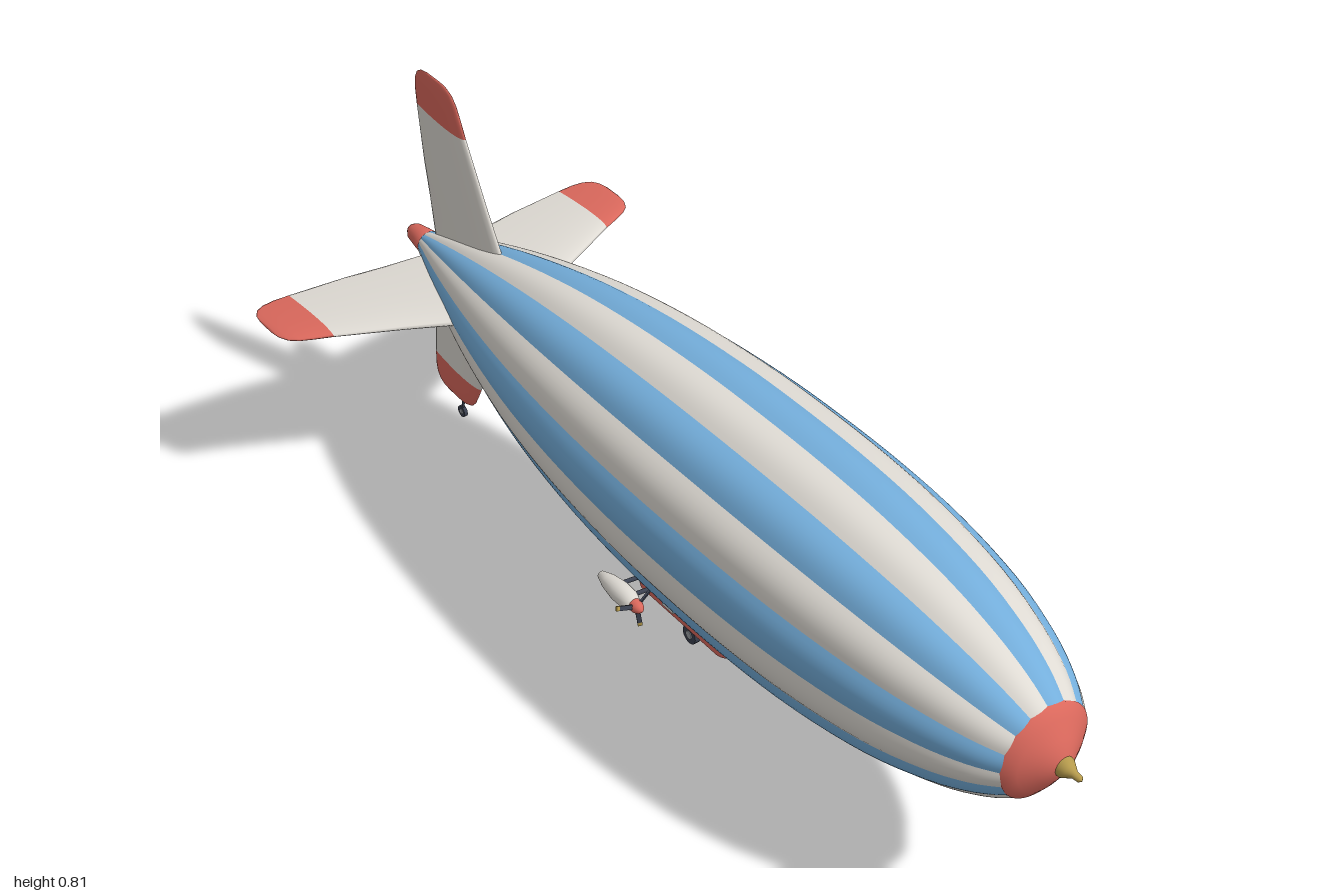
import * as THREE from 'three';
import { mergeGeometries, mergeVertices } from 'three/addons/utils/BufferGeometryUtils.js';

const mat = (name, color) => Object.assign(new THREE.MeshStandardMaterial({ color }), { name });
const AXIS_Y = 0.395; // height of the envelope's long axis

// Surface from fn(u, v) -> [x, y, z], with smooth normals
function grid(nu, nv, fn) {
  const pos = [], idx = [];
  for (let j = 0; j <= nv; j++)
    for (let i = 0; i <= nu; i++) pos.push(...fn(i / nu, j / nv));
  for (let j = 0; j < nv; j++)
    for (let i = 0; i < nu; i++) {
      const a = j * (nu + 1) + i, d = a + nu + 1;
      idx.push(a, a + 1, d, a + 1, d + 1, d);
    }
  let g = new THREE.BufferGeometry();
  g.setAttribute('position', new THREE.Float32BufferAttribute(pos, 3));
  g.setIndex(idx);
  g = mergeVertices(g, 1e-5);
  g.computeVertexNormals();
  return g;
}

// Turned shape along z from [radius, z] pairs, listed from back to front
function turned(points, sides = 32) {
  return new THREE.LatheGeometry(points.map(p => new THREE.Vector2(...p)), sides).rotateX(Math.PI / 2);
}

// Block with a rounded plan, standing between y0 and y1
function slab(w, l, r, y0, y1, bevel = 0) {
  const x = w / 2 - bevel, z = l / 2 - bevel, s = new THREE.Shape();
  r -= bevel;
  s.absarc(x - r, z - r, r, 0, Math.PI / 2);
  s.absarc(-x + r, z - r, r, Math.PI / 2, Math.PI);
  s.absarc(-x + r, -z + r, r, Math.PI, Math.PI * 1.5);
  s.absarc(x - r, -z + r, r, Math.PI * 1.5, Math.PI * 2);
  const g = new THREE.ExtrudeGeometry(s, {
    depth: y1 - y0 - 2 * bevel, curveSegments: 8, bevelEnabled: bevel > 0,
    bevelThickness: bevel, bevelSize: bevel, bevelSegments: 4,
  });
  return g.rotateX(-Math.PI / 2).translate(0, y0 + bevel, 0);
}

// Straight rod between two points
function rod(a, b, r) {
  const A = new THREE.Vector3(...a), B = new THREE.Vector3(...b), d = B.clone().sub(A);
  const g = new THREE.CylinderGeometry(r, r, d.length(), 10);
  g.applyQuaternion(new THREE.Quaternion().setFromUnitVectors(new THREE.Vector3(0, 1, 0), d.normalize()));
  return g.translate(...A.add(B).multiplyScalar(0.5).toArray());
}

export function createModel() {
  const model = new THREE.Group();
  model.name = 'airship';
  const white = mat('white', 0xdedad3), blue = mat('sky blue', 0x74aedb), red = mat('coral red', 0xda685c);
  const navy = mat('navy glass', 0x39527c), gold = mat('brass', 0xb59a4c);
  const dark = mat('dark metal', 0x3b4150), grey = mat('grey metal', 0x9a9ea4);
  const add = (parent, name, geo, material, x = 0, y = 0, z = 0) => {
    const m = new THREE.Mesh(geo, material);
    m.name = name;
    m.position.set(x, y, z);
    parent.add(m);
    return m;
  };

  // Envelope: sixteen bulging gores in alternating colours
  const profile = new THREE.SplineCurve([
    [0.912, 0.093], [0.86, 0.126], [0.78, 0.16], [0.66, 0.193], [0.5, 0.217], [0.34, 0.228], [0.17, 0.2305],
    [0, 0.2265], [-0.2, 0.211], [-0.4, 0.182], [-0.6, 0.137], [-0.78, 0.083], [-0.93, 0.028],
  ].map(p => new THREE.Vector2(...p)));
  const gores = [[], []], GORES = 16;
  for (let k = 0; k < GORES; k++)
    gores[k % 2].push(grid(8, 48, (u, v) => {
      const p = profile.getPoint(v), t = (k + u) / GORES * Math.PI * 2;
      const r = p.y * (0.968 + 0.032 * Math.sin(Math.PI * u));
      return [r * Math.sin(t), r * Math.cos(t), p.x];
    }));
  add(model, 'blueGores', mergeGeometries(gores[0]), blue, 0, AXIS_Y);
  add(model, 'whiteGores', mergeGeometries(gores[1]), white, 0, AXIS_Y);

  // Nose cap, brass nose point and tail cone
  add(model, 'noseCap', turned([[0.091, 0.9], [0.0935, 0.912], [0.072, 0.927], [0.045, 0.943], [0.018, 0.958], [0, 0.96]], 48), red, 0, AXIS_Y);
  add(model, 'nosePoint', turned([[0.019, 0.945], [0.019, 0.962], [0.013, 0.972], [0.007, 0.982], [0.006, 0.994], [0, 1]]), gold, 0, AXIS_Y);
  add(model, 'tailCone', turned([[0, -1], [0.012, -0.997], [0.019, -0.985], [0.024, -0.955], [0.029, -0.915], [0, -0.912]]), red, 0, AXIS_Y);

  // Fins: stations of [span, leading z, trailing z, thickness]
  const inner = [[0.02, -0.59, -0.9, 0.028], [0.12, -0.655, -0.912, 0.025], [0.2, -0.698, -0.925, 0.022], [0.325, -0.76, -0.937, 0.017]];
  const tip = [inner[3], [0.36, -0.775, -0.939, 0.015], [0.385, -0.787, -0.936, 0.013],
    [0.402, -0.801, -0.927, 0.01], [0.412, -0.821, -0.911, 0.006], [0.416, -0.845, -0.888, 0]];
  const finPart = rows => grid(24, rows.length - 1, (u, v) => {
    const [s, lead, trail, t] = rows[Math.round(v * (rows.length - 1))];
    const a = u * Math.PI * 2, c = (1 - Math.cos(a)) / 2;
    const h = 5 * t * (0.2969 * Math.sqrt(c) - 0.126 * c - 0.3516 * c ** 2 + 0.2843 * c ** 3 - 0.1036 * c ** 4);
    return [u <= 0.5 ? h : -h, s, lead + (trail - lead) * c];
  });
  const finInner = finPart(inner), finTip = finPart(tip);
  ['topFin', 'rightFin', 'bottomFin', 'leftFin'].forEach((name, k) => {
    const fin = new THREE.Group();
    fin.name = name;
    fin.position.y = AXIS_Y;
    fin.rotation.z = k * Math.PI / 2;
    if (k === 2) fin.scale.y = 0.84;
    add(fin, name + 'Panel', finInner, white);
    add(fin, name + 'Tip', finTip, red);
    model.add(fin);
  });

  // Gondola: red body, navy window band, white roof and neck
  const gondola = new THREE.Group();
  gondola.name = 'gondola';
  model.add(gondola);
  add(gondola, 'body', slab(0.111, 0.292, 0.032, 0.045, 0.131, 0.011), red);
  add(gondola, 'windowBand', slab(0.115, 0.296, 0.034, 0.078, 0.115), navy);
  add(gondola, 'roof', slab(0.109, 0.29, 0.031, 0.1, 0.147, 0.012), white);
  add(gondola, 'neck', slab(0.075, 0.245, 0.03, 0.135, 0.19), white, 0, 0, 0.01);
  for (const side of [-1, 1]) {
    for (const z of [0.108, 0.065, 0.02, -0.068, -0.108])
      add(gondola, 'windowPost', new THREE.BoxGeometry(0.004, 0.037, 0.007), red, side * 0.057, 0.0965, z);
    add(gondola, 'door', new THREE.BoxGeometry(0.006, 0.064, 0.034), white, side * 0.057, 0.096, -0.028);
    add(gondola, 'doorWindow', new THREE.BoxGeometry(0.002, 0.022, 0.02), navy, side * 0.0605, 0.106, -0.028);
  }

  // Engines on outriggers, each with a three-bladed propeller
  for (const side of [-1, 1]) {
    const engine = new THREE.Group();
    engine.name = side > 0 ? 'leftEngine' : 'rightEngine';
    engine.position.set(side * 0.15, 0.138, 0);
    model.add(engine);
    add(engine, 'nacelle', turned([[0, -0.12], [0.008, -0.115], [0.016, -0.09], [0.021, -0.055], [0.02, -0.025], [0.014, -0.008], [0, -0.007]], 24), white);
    add(engine, 'spinner', turned([[0.013, -0.01], [0.013, 0.002], [0.009, 0.011], [0.004, 0.016], [0, 0.017]], 20), red);
    for (const deg of [38, 158, 278]) {
      const blade = new THREE.Group();
      blade.name = 'propellerBlade';
      blade.rotation.z = THREE.MathUtils.degToRad(deg);
      add(blade, 'blade', new THREE.BoxGeometry(0.034, 0.009, 0.004).rotateX(0.4), dark, 0.025);
      add(blade, 'bladeTip', new THREE.BoxGeometry(0.008, 0.009, 0.004).rotateX(0.4), gold, 0.046);
      engine.add(blade);
    }
    for (const z of [-0.035, -0.075])
      add(model, 'engineStrut', rod([side * 0.045, 0.123, z], [side * 0.14, 0.135, z], 0.0045), dark);
  }

  // Landing gear: two main wheels and a small wheel under the bottom fin
  const wheel = (name, x, y, z, r, w) => {
    add(model, name + 'Tyre', new THREE.CylinderGeometry(r, r, w, 24).rotateZ(Math.PI / 2), dark, x, y, z);
    add(model, name + 'Hub', new THREE.CylinderGeometry(r * 0.45, r * 0.45, w + 0.003, 16).rotateZ(Math.PI / 2), grey, x, y, z);
  };
  for (const side of [-1, 1]) {
    wheel('mainWheel', side * 0.035, 0.02, 0.015, 0.02, 0.012);
    add(model, 'mainStrut', rod([side * 0.016, 0.055, 0.015], [side * 0.03, 0.02, 0.015], 0.003), dark);
    add(model, 'sideStrut', rod([side * 0.034, 0.055, 0.015], [side * 0.027, 0.02, 0.015], 0.003), dark);
    add(model, 'axle', rod([0, 0.025, 0.015], [side * 0.035, 0.02, 0.015], 0.003), dark);
  }
  wheel('tailWheel', 0, 0.019, -0.843, 0.013, 0.008);
  add(model, 'tailStrut', rod([0, 0.06, -0.835], [0, 0.019, -0.843], 0.003), dark);
  return model;
}
